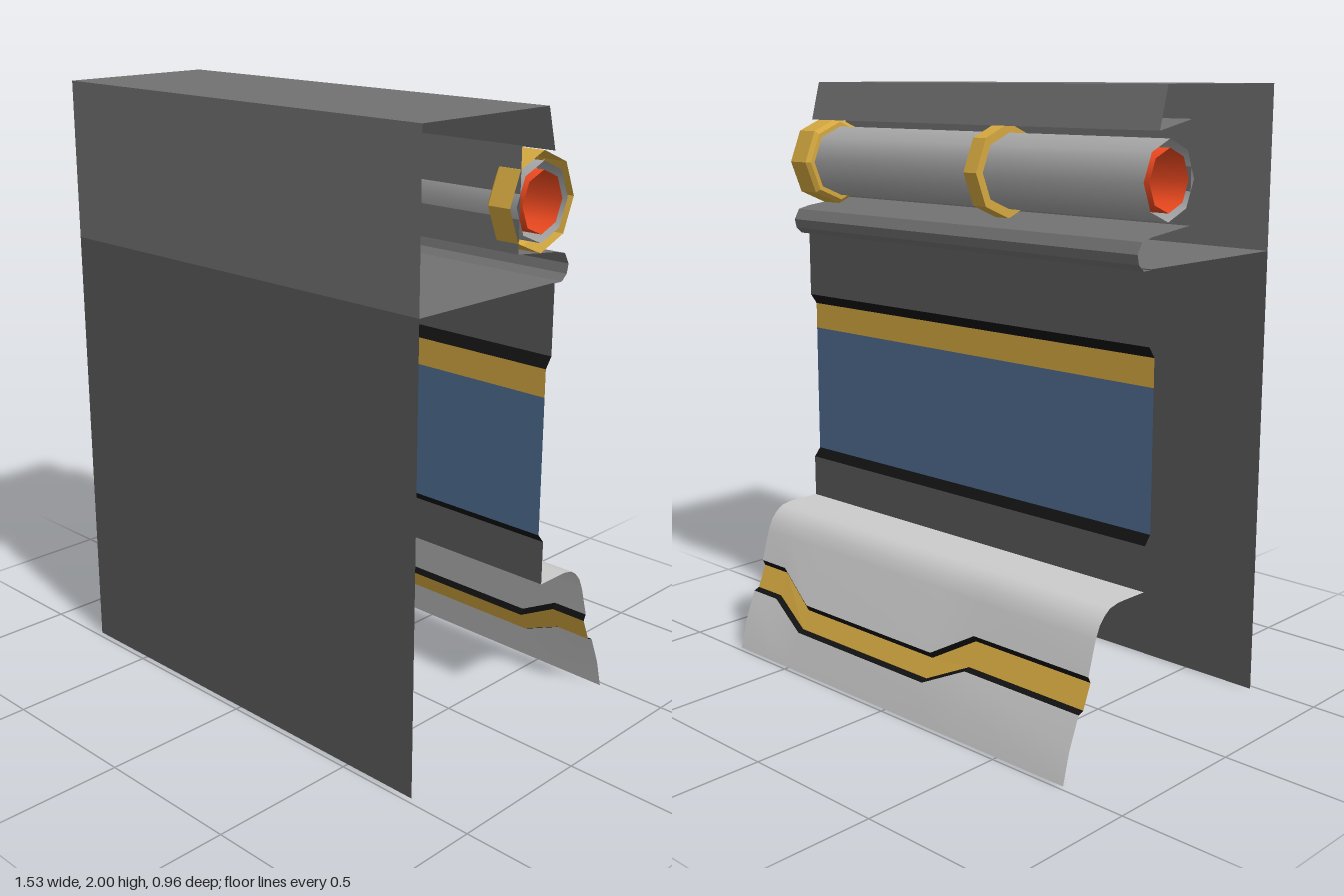
import * as THREE from 'three';

const W = 0.767; // half length of the wall segment

const material = (color, flat = true) =>
  new THREE.MeshStandardMaterial({ color, flatShading: flat, side: THREE.DoubleSide });

const GREY = 0xcccccc, DARK = 0x5a5a5a, MID = 0x727272, GOLD = 0xd4a840,
  BLACK = 0x111111, BLUE = 0x4f6d90, RED = 0xf04a20, PIPE = 0xa8a8a8;

// Skin a surface through cross-sections: sections[i] = { x, pts: [[z, y], ...] }
function skin(sections) {
  const n = sections[0].pts.length, pos = [], idx = [];
  for (const { x, pts } of sections) for (const [z, y] of pts) pos.push(x, y, z);
  for (let i = 0; i < sections.length - 1; i++) {
    for (let j = 0; j < n - 1; j++) {
      const a = i * n + j, b = a + n;
      idx.push(a, a + 1, b, b, a + 1, b + 1);
    }
  }
  const geo = new THREE.BufferGeometry();
  geo.setAttribute('position', new THREE.Float32BufferAttribute(pos, 3));
  geo.setIndex(idx);
  geo.computeVertexNormals();
  return geo;
}

const extrude = (pts) => skin([{ x: -W, pts }, { x: W, pts }]);

// Octagonal part turned around the pipe axis: [radius, x] pairs
function turned(profile) {
  const geo = new THREE.LatheGeometry(profile.map(([r, x]) => new THREE.Vector2(r, x)), 8);
  geo.rotateZ(-Math.PI / 2);
  geo.translate(0, 1.727, -0.045);
  return geo;
}

// Outer curve of the apron, [z, y] from top to bottom
const APRON = [[-0.345, 0.41], [-0.375, 0.305], [-0.415, 0.205], [-0.452, 0.12], [-0.483, 0]];
function apronZ(y) {
  for (let i = 0; i < APRON.length - 1; i++) {
    const [z0, y0] = APRON[i], [z1, y1] = APRON[i + 1];
    if (y >= y1) return z0 + (z1 - z0) * (y0 - y) / (y0 - y1);
  }
  return APRON[APRON.length - 1][0];
}

export function createModel() {
  const group = new THREE.Group();
  const add = (name, geo, color, flat = true) => {
    const mesh = new THREE.Mesh(geo, material(color, flat));
    mesh.name = name;
    group.add(mesh);
  };

  // Plain front wall and the hollow upper housing with its pipe recess
  add('frontWall', extrude([[0.48, 0], [0.48, 1.48]]), DARK);
  add('upperHousing', extrude([[0.48, 1.48], [0.48, 2], [-0.06, 2], [-0.095, 1.87],
    [0.06, 1.9], [0.06, 1.59], [-0.12, 1.57]]), MID);
  add('shelf', extrude([[0.48, 1.48], [-0.12, 1.478]]), MID);
  add('roundedLip', extrude([[-0.12, 1.57], [-0.165, 1.56], [-0.185, 1.525],
    [-0.178, 1.495], [-0.155, 1.475], [-0.12, 1.475]]), MID);

  // Back wall with a recessed coloured band
  add('upperPanel', extrude([[-0.12, 1.475], [-0.12, 1.25]]), DARK);
  add('bandTopEdge', extrude([[-0.12, 1.25], [-0.095, 1.215]]), BLACK);
  add('bandTrim', extrude([[-0.095, 1.215], [-0.095, 1.125]]), GOLD);
  add('bandPanel', extrude([[-0.095, 1.125], [-0.095, 0.675]]), BLUE);
  add('bandBottomEdge', extrude([[-0.095, 0.675], [-0.12, 0.645]]), BLACK);
  add('lowerPanel', extrude([[-0.12, 0.645], [-0.12, 0.5]]), DARK);

  // Curved apron with a zigzag groove: [x, drop], drop 0 = high run, 1 = low run
  const stations = [[-W, 0], [-0.3, 0], [-0.14, 1], [0.48, 1], [0.64, 0], [W, 0]];
  const sweep = (rule) => skin(stations.map(([x, d]) => {
    const yU = 0.305 - 0.09 * d, yL = 0.2 - 0.075 * d;
    return {
      x,
      pts: rule({
        yL, upper: [apronZ(yU), yU], upperIn: [apronZ(yU) + 0.01, yU - 0.02],
        lowerIn: [apronZ(yL) + 0.021, yL + 0.008], lower: [apronZ(yL), yL],
      }),
    };
  }));
  add('apronTop', sweep((s) => [[-0.12, 0.5], [-0.24, 0.5], [-0.28, 0.492], [-0.305, 0.475],
    [-0.327, 0.45], [-0.345, 0.41], s.upper]), GREY, false);
  add('grooveTopEdge', sweep((s) => [s.upper, s.upperIn]), BLACK);
  add('grooveTrim', sweep((s) => [s.upperIn, s.lowerIn]), GOLD);
  add('grooveBottomEdge', sweep((s) => [s.lowerIn, s.lower]), BLACK);
  add('apronBottom', sweep((s) => [s.lower, [apronZ(s.yL / 2), s.yL / 2], [-0.483, 0]]), GREY, false);

  // Pipe, its inner liner and two collars
  add('pipe', turned([[0.12, -W], [0.12, W]]), PIPE, false);
  add('pipeLiner', turned([[0.094, -W], [0.094, W]]), RED, false);
  add('endCollar', turned([[0.094, 0.674], [0.136, 0.675], [0.15, 0.688], [0.15, W]]), GOLD);
  add('middleCollar', turned([[0.094, -0.138], [0.15, -0.138], [0.15, -0.083],
    [0.136, -0.07], [0.094, -0.069]]), GOLD);

  return group;
}
